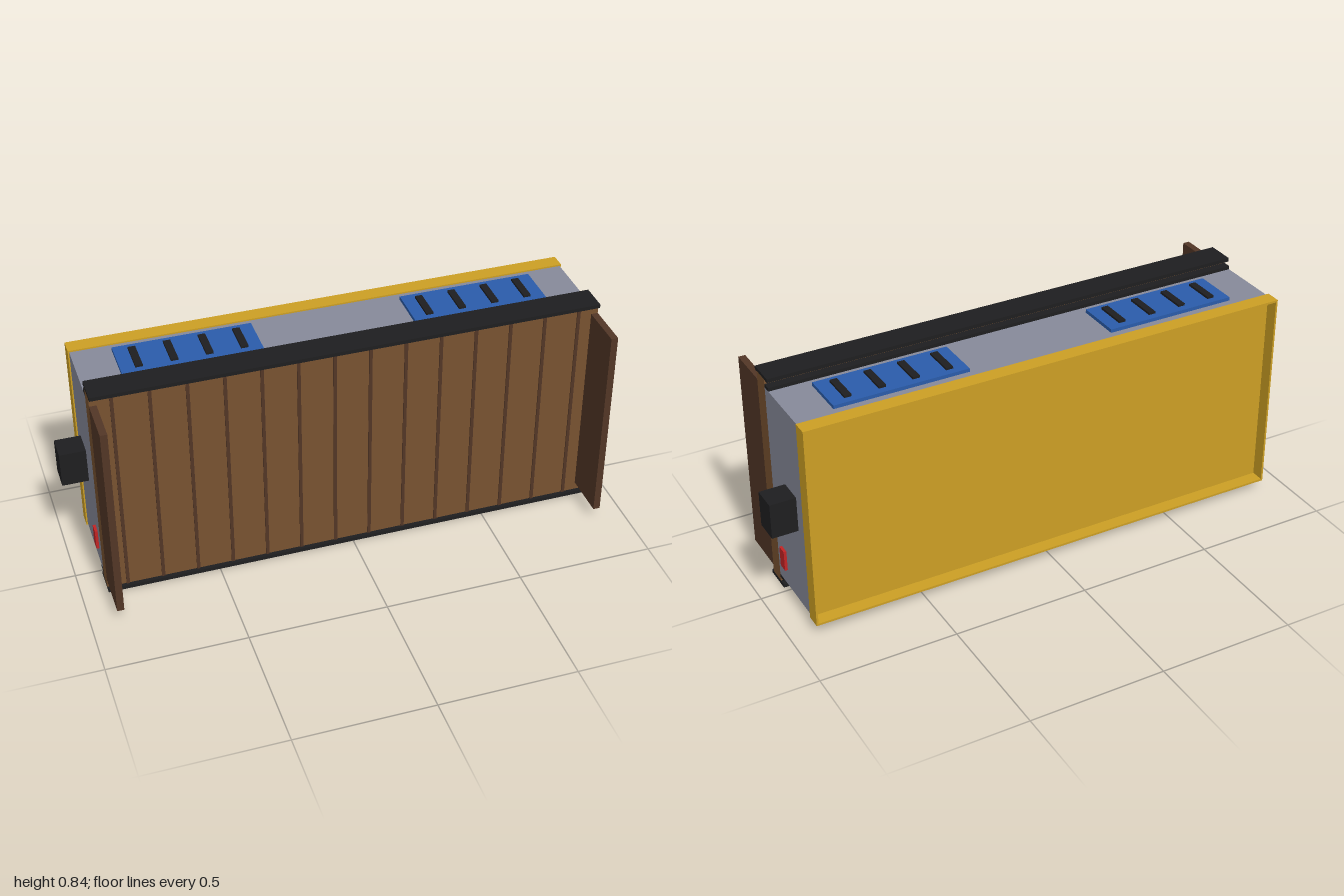
import * as THREE from 'three';

const material = (color) => new THREE.MeshStandardMaterial({ color, flatShading: true });
const mats = {
  plank: material(0x785230),
  darkWood: material(0x523626),
  metal: material(0x868999),
  yellow: material(0xcc9f24),
  blue: material(0x2a5caa),
  black: material(0x1e1e20),
  red: material(0xc22424),
};

export function createModel() {
  const model = new THREE.Group();
  model.name = 'container';

  // Box given by its extents on each axis
  function box(name, mat, [x0, x1], [y0, y1], [z0, z1]) {
    const mesh = new THREE.Mesh(new THREE.BoxGeometry(x1 - x0, y1 - y0, z1 - z0), mats[mat]);
    mesh.position.set((x0 + x1) / 2, (y0 + y1) / 2, (z0 + z1) / 2);
    mesh.name = name;
    model.add(mesh);
  }
  // The same range, mirrored when side is -1, about a centre
  const flip = (a, b, side, c = 0) => (side > 0 ? [a, b] : [2 * c - b, 2 * c - a]);

  const W = 0.906, MID = 0.419;
  const full = [-W, W];

  // Main body and front wall
  box('body', 'metal', full, [0.044, 0.795], [-0.222, 0.046]);
  box('frontWall', 'plank', full, [0.012, 0.826], [0.046, 0.11]);

  // Dark battens between the planks
  for (let i = 0; i < 14; i++) {
    const x = (i - 6.5) * 0.128;
    box('batten', 'darkWood', [x - 0.006, x + 0.006], [0.013, 0.825], [0.1, 0.114]);
  }

  // Recessed back panel inside a thin rim
  box('backPanel', 'yellow', full, [0.044, 0.795], [-0.23, -0.222]);
  for (const s of [1, -1]) {
    box('backRimSide', 'yellow', flip(W - 0.002, 0.911, s), [0.038, 0.801], [-0.278, -0.222]);
    box('backRimEdge', 'yellow', [-0.911, 0.911], flip(0.793, 0.801, s, MID), [-0.278, -0.222]);
  }

  // Top and bottom: rails, and vents with four slots each
  for (const v of [1, -1]) {
    const y = (a, b) => flip(a, b, v, MID);
    box('rail', 'black', full, y(0.824, 0.838), [0.021, 0.124]);
    box('innerRail', 'black', full, y(0.795, 0.808), [0.015, 0.046]);
    for (const s of [1, -1]) {
      box('vent', 'blue', flip(0.274, 0.766, s), y(0.795, 0.808), [-0.188, -0.019]);
      for (let i = 0; i < 4; i++) {
        const x = 0.335 + i * 0.1225;
        box('ventSlot', 'black', flip(x - 0.013, x + 0.013, s), y(0.807, 0.816), [-0.162, -0.045]);
      }
    }
  }

  // Ends: door leaf, handle block and small lamp
  for (const s of [1, -1]) {
    box('sideBoard', 'darkWood', flip(0.881, W, s), [0.044, 0.795], [0.11, 0.278]);
    box('handle', 'black', flip(W, 1, s), [0.354, 0.485], [-0.163, -0.071]);
    box('lamp', 'red', flip(W, 0.916, s), [0.109, 0.187], [-0.031, 0.007]);
  }

  return model;
}
